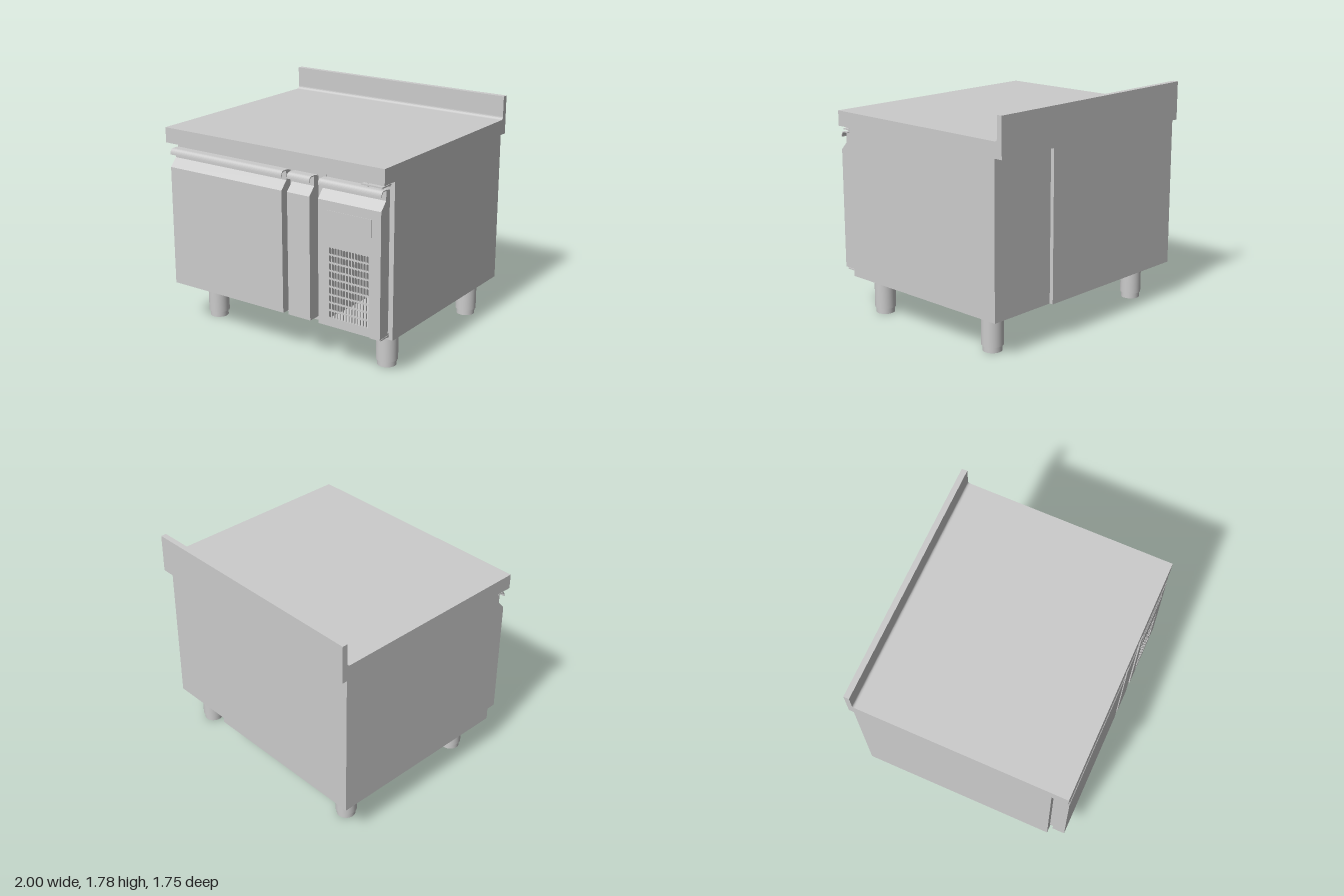
import * as THREE from 'three';

const mat = new THREE.MeshStandardMaterial({ color: 0xcccccc, side: THREE.DoubleSide });

export function createModel() {
  const root = new THREE.Group();
  root.name = 'refrigeratedCounter';

  const add = (name, geo, parent = root) => {
    const m = new THREE.Mesh(geo, mat);
    m.name = name;
    parent.add(m);
    return m;
  };
  // Box given by its limits
  const box = (name, x0, x1, y0, y1, z0, z1, parent) => add(name,
    new THREE.BoxGeometry(x1 - x0, y1 - y0, z1 - z0)
      .translate((x0 + x1) / 2, (y0 + y1) / 2, (z0 + z1) / 2), parent);
  // Side profile in (z, y), swept from x0 to x1
  const sweep = (name, shape, x0, x1, parent) => add(name,
    new THREE.ExtrudeGeometry(shape, { depth: x1 - x0, bevelEnabled: false, curveSegments: 8 })
      .rotateY(-Math.PI / 2).translate(x1, 0, 0), parent);
  const poly = pts => new THREE.Shape(pts.map(p => new THREE.Vector2(...p)));
  const rect = (x0, x1, y0, y1) => poly([[x0, y0], [x1, y0], [x1, y1], [x0, y1]]);
  // Upright sheet with holes, from z0 to z1
  const sheet = (name, shape, holes, z0, z1, parent) => {
    shape.holes.push(...holes);
    return add(name, new THREE.ExtrudeGeometry(shape,
      { depth: z1 - z0, bevelEnabled: false, curveSegments: 4 }).translate(0, 0, z0), parent);
  };

  // Worktop with coved upstand
  const top = poly([[-0.87, 1.48], [0.875, 1.48], [0.875, 1.6], [-0.8, 1.6]]);
  top.quadraticCurveTo(-0.825, 1.6, -0.825, 1.625);
  top.lineTo(-0.825, 1.785);
  top.lineTo(-0.87, 1.785);
  sweep('worktop', top, -1, 1);

  // Chilled cabinet and hollow machine compartment
  box('cabinet', -1, 0.42, 0.29, 1.48, -0.83, 0.745);
  const bay = new THREE.Group();
  bay.name = 'machineCompartment';
  root.add(bay);
  box('sidePanel', 0.985, 1, 0.29, 1.48, -0.8, 0.745, bay);
  box('backPanel', 0.42, 0.985, 0.29, 1.48, -0.8, -0.785, bay);
  box('floor', 0.42, 0.985, 0.29, 0.305, -0.785, 0.745, bay);
  sheet('frontFrame', rect(0.422, 0.985, 0.305, 1.48), [rect(0.5, 0.92, 0.37, 1.3)], 0.73, 0.745, bay);

  // Door fronts: sloped finger recess under a curled pull
  const doorProfile = (y0, z0 = 0.775) => poly([[z0, y0], [0.875, y0], [0.875, 1.29],
    [0.815, 1.355], [0.815, 1.43], [z0, 1.43]]);
  const pull = poly([[0.8, 1.427], [0.845, 1.427]]);
  pull.quadraticCurveTo(0.869, 1.427, 0.869, 1.39);
  pull.lineTo(0.875, 1.39);
  pull.quadraticCurveTo(0.875, 1.435, 0.845, 1.435);
  pull.lineTo(0.8, 1.435);

  const makeDoor = (name, x0, x1) => {
    const g = new THREE.Group();
    g.name = name;
    root.add(g);
    sweep('pull', pull, x0, x1, g);
    return g;
  };
  for (const [name, x0, x1] of [['mainDoor', -0.96, 0.115], ['narrowFront', 0.165, 0.365]]) {
    const g = makeDoor(name, x0, x1);
    sweep('panel', doorProfile(0.335), x0, x1, g);
    box('gasket', x0 + 0.015, x1 - 0.015, 0.355, 1.415, 0.745, 0.775, g);
  }

  // Ventilated door, solid around an opening covered by a slotted sheet
  const vent = makeDoor('ventedDoor', 0.44, 0.975);
  const [vx0, vx1, vy0, vy1] = [0.52, 0.89, 0.385, 0.96];
  sweep('panelLeft', doorProfile(0.335), vx1, 0.975, vent);
  sweep('panelRight', doorProfile(0.335), 0.44, vx0, vent);
  sweep('panelUpper', doorProfile(vy1), vx0, vx1, vent);
  box('panelLower', vx0, vx1, 0.335, vy0, 0.775, 0.875, vent);
  sheet('gasket', rect(0.455, 0.96, 0.355, 1.415), [rect(vx0, vx1, vy0, vy1)], 0.745, 0.775, vent);
  box('coverPlate', 0.515, 0.895, 0.98, 1.22, 0.87, 0.878, vent);
  const slots = [];
  const r = 0.009;
  for (let i = 0; i < 14; i++) {
    for (let j = 0; j < 9; j++) {
      const x = 0.544 + i * 0.0248, y = 0.428 + j * 0.0613, h = 0.018;
      const s = new THREE.Path();
      s.absarc(x, y + h, r, 0, Math.PI);
      s.absarc(x, y - h, r, Math.PI, Math.PI * 2);
      s.closePath();
      slots.push(s);
    }
  }
  sheet('ventGrille', rect(vx0, vx1, vy0, vy1), slots, 0.865, 0.875, vent);

  // Hinges above and below the vented door
  for (const [name, x0, y, dir] of [['upperHinge', 0.735, 1.455, 1], ['lowerHinge', 0.815, 0.323, -1]]) {
    const g = new THREE.Group();
    g.name = name;
    root.add(g);
    box('arm', x0 + 0.06, 0.97, y - 0.005, y + 0.005, 0.745, 0.855, g);
    box('wallBracket', x0, x0 + 0.08, y - 0.012, y + 0.02, 0.745, 0.76, g);
    box('mountingLug', 0.92, 0.965, y - 0.015, y + 0.02, 0.745, 0.76, g);
    for (const x of [0.83, 0.945]) {
      add('pin', new THREE.CylinderGeometry(0.009, 0.009, 0.035, 12).translate(x, y - dir * 0.005, 0.82), g);
    }
  }

  // Adjustable legs
  for (const x of [-0.785, 0.84]) {
    for (const z of [0.565, -0.62]) {
      const leg = new THREE.Group();
      leg.name = 'leg';
      leg.position.set(x, 0, z);
      root.add(leg);
      box('mountingPlate', -0.125, 0.125, 0.272, 0.29, -0.1, 0.1, leg);
      add('post', new THREE.CylinderGeometry(0.083, 0.083, 0.227, 32).translate(0, 0.1585, 0), leg);
      add('foot', new THREE.CylinderGeometry(0.073, 0.073, 0.05, 32).translate(0, 0.025, 0), leg);
    }
  }
  return root;
}
